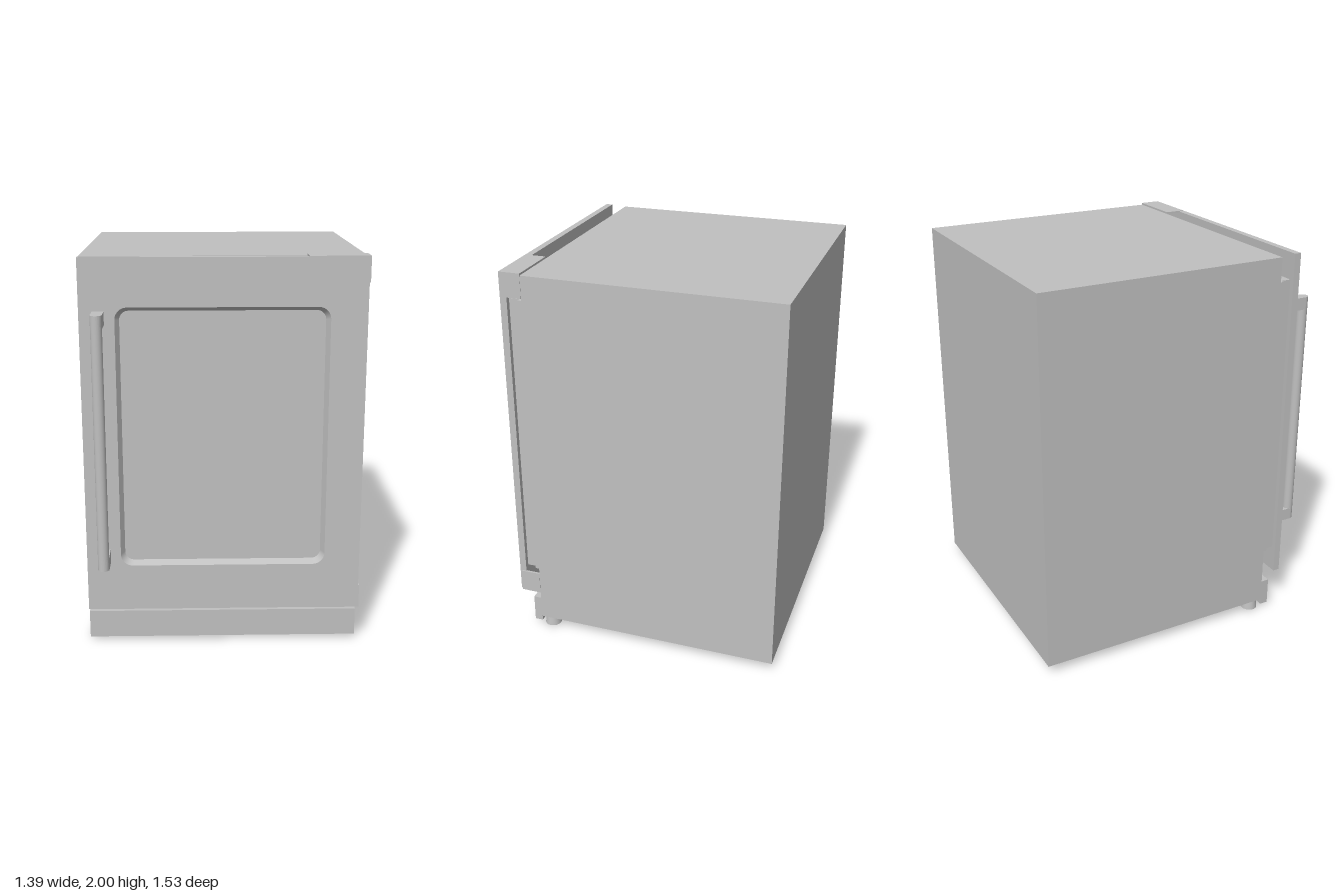
import * as THREE from 'three';

const grey = new THREE.MeshStandardMaterial({ color: 0xc0c0c0 });
grey.name = 'applianceGrey';

// Rounded rectangle outline, centred on (cx, cy)
function roundedRect(Type, cx, cy, w, h, r) {
  const p = new Type();
  const x0 = cx - w / 2, x1 = cx + w / 2, y0 = cy - h / 2, y1 = cy + h / 2;
  p.absarc(x1 - r, y0 + r, r, -Math.PI / 2, 0);
  p.absarc(x1 - r, y1 - r, r, 0, Math.PI / 2);
  p.absarc(x0 + r, y1 - r, r, Math.PI / 2, Math.PI);
  p.absarc(x0 + r, y0 + r, r, Math.PI, Math.PI * 1.5);
  p.closePath();
  return p;
}

export function createModel() {
  const model = new THREE.Group();
  model.name = 'undercounterFridge';

  const add = (name, geometry, x = 0, y = 0, z = 0) => {
    const mesh = new THREE.Mesh(geometry, grey);
    mesh.name = name;
    mesh.position.set(x, y, z);
    model.add(mesh);
    return mesh;
  };
  // Box given by its limits on each axis
  const box = (name, x0, x1, y0, y1, z0, z1) =>
    add(name, new THREE.BoxGeometry(x1 - x0, y1 - y0, z1 - z0),
      (x0 + x1) / 2, (y0 + y1) / 2, (z0 + z1) / 2);

  // Cabinet, kick plate and the layers behind the door
  box('cabinet', -0.695, 0.69, 0.05, 1.99, -0.767, 0.524);
  box('kickPlate', -0.695, 0.685, 0.02, 0.165, 0.524, 0.567);
  box('doorGasket', -0.685, 0.68, 0.35, 1.862, 0.524, 0.549);
  box('doorLiner', -0.665, 0.66, 0.35, 1.862, 0.549, 0.604);

  // Door frame with a rounded window opening
  const zBack = 0.603, zFront = 0.638;
  const cx = -0.006, cy = 1.105;
  const frame = new THREE.Shape();
  frame.moveTo(-0.69, 0.21);
  frame.lineTo(0.685, 0.21);
  frame.lineTo(0.685, 1.997);
  frame.lineTo(-0.69, 1.997);
  frame.closePath();
  frame.holes.push(roundedRect(THREE.Path, cx, cy, 1.028, 1.312, 0.06));
  add('doorFrame', new THREE.ExtrudeGeometry(frame,
    { depth: zFront - zBack, bevelEnabled: false, curveSegments: 10 }), 0, 0, zBack);

  // Sloped reveal leading from the opening in to the glass
  const outer = roundedRect(THREE.Path, cx, cy, 1.028, 1.312, 0.06).getPoints(10);
  const inner = roundedRect(THREE.Path, cx, cy, 0.988, 1.272, 0.045).getPoints(10);
  const positions = [], index = [];
  outer.forEach((o, i) => {
    positions.push(o.x, o.y, zFront, inner[i].x, inner[i].y, zBack + 0.003);
    if (i < outer.length - 1) {
      const a = i * 2;
      index.push(a, a + 2, a + 1, a + 1, a + 2, a + 3);
    }
  });
  const reveal = new THREE.BufferGeometry();
  reveal.setAttribute('position', new THREE.Float32BufferAttribute(positions, 3));
  reveal.setIndex(index);
  reveal.computeVertexNormals();
  add('windowReveal', reveal);
  add('windowGlass', new THREE.ShapeGeometry(
    roundedRect(THREE.Shape, cx, cy, 1.0, 1.284, 0.05), 10), 0, 0, zBack + 0.003);

  // Angle brackets wrapping the door's hinge-side corners
  box('topHingePlate', 0.4, 0.69, 1.99, 2.0, 0.524, 0.63);
  box('topHingeFlange', 0.68, 0.692, 1.875, 2.0, 0.524, 0.63);
  box('bottomHingePlate', 0.42, 0.69, 0.205, 0.215, 0.524, 0.63);
  box('bottomHingeFlange', 0.68, 0.692, 0.205, 0.325, 0.524, 0.63);

  // Handle: round bar between two round-nosed posts
  const hx = -0.598, r = 0.028, noseZ = 0.767 - r;
  add('handleBar', new THREE.CylinderGeometry(r, r, 1.2, 24), hx, 1.107, noseZ);
  const post = new THREE.Shape();
  post.moveTo(-r, -zFront);
  post.lineTo(-r, -noseZ);
  post.absarc(0, -noseZ, r, Math.PI, Math.PI * 2);
  post.lineTo(r, -zFront);
  post.closePath();
  const postGeometry = new THREE.ExtrudeGeometry(post,
    { depth: 0.064, bevelEnabled: false, curveSegments: 14 });
  postGeometry.rotateX(-Math.PI / 2);
  // Shape y becomes -z, so the nose points forward and the depth runs upward
  add('lowerHandlePost', postGeometry, hx, 0.472, 0);
  add('upperHandlePost', postGeometry, hx, 1.678, 0);

  // Levelling feet: wide-set at the front, inset at the rear
  const foot = new THREE.CylinderGeometry(0.038, 0.044, 0.05, 24);
  for (const side of [-1, 1]) {
    add('frontFoot', foot, side * 0.65 - 0.002, 0.025, 0.475);
    add('rearFoot', foot, side * 0.53 - 0.002, 0.025, -0.665);
  }
  return model;
}
